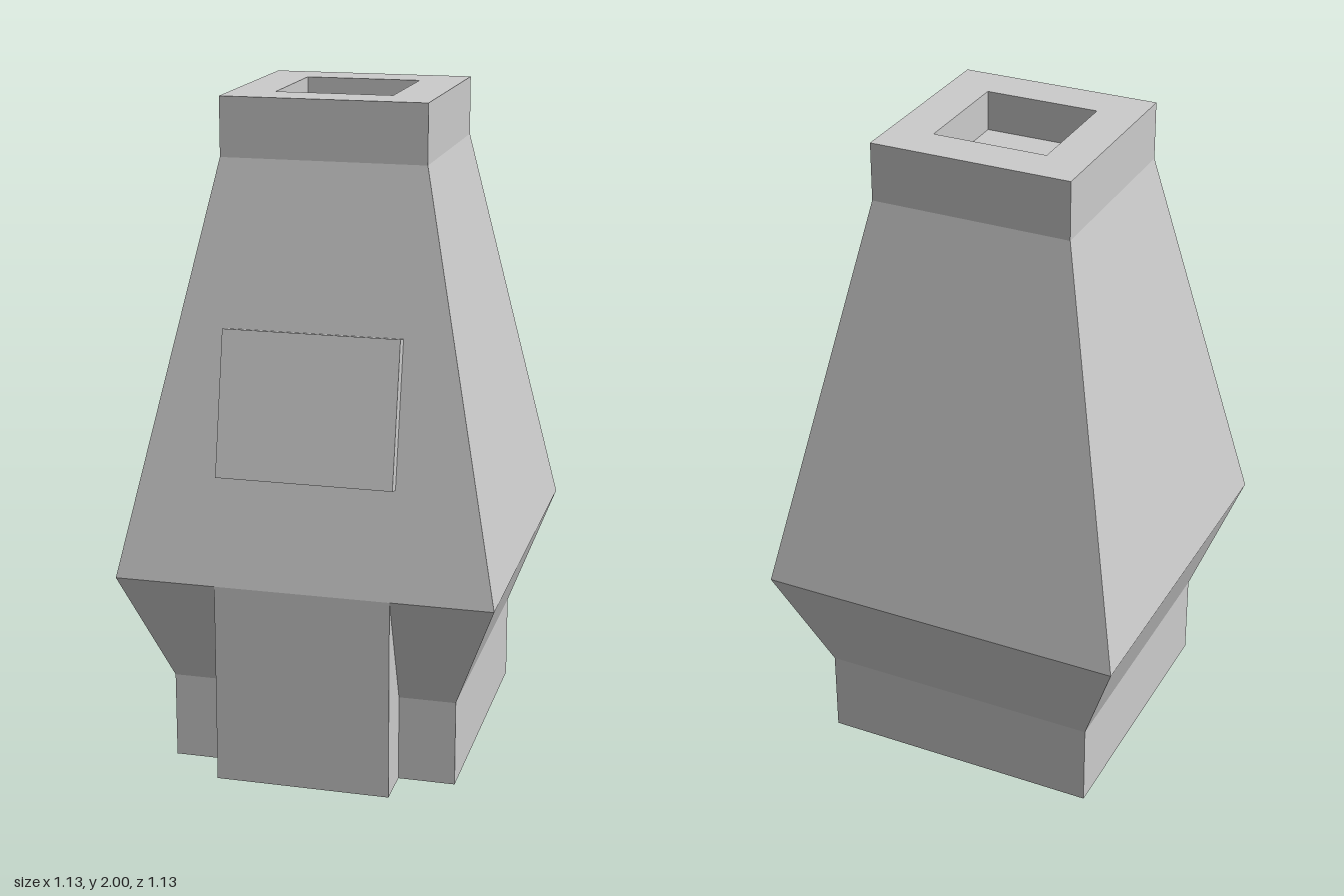
import * as THREE from 'three';

const material = new THREE.MeshStandardMaterial({ color: 0xcccccc, flatShading: true });

function addPart(group, name, geometry) {
  const mesh = new THREE.Mesh(geometry, material);
  mesh.name = name;
  group.add(mesh);
  return mesh;
}

// Square tower: a four-sided lathe whose profile gives half-widths and heights
function squareTower(profile) {
  const points = profile.map(([half, y]) => new THREE.Vector2(half * Math.SQRT2, y));
  const geometry = new THREE.LatheGeometry(points, 4, Math.PI / 4).toNonIndexed();
  geometry.computeVertexNormals();
  return geometry;
}

export function createModel() {
  const group = new THREE.Group();
  group.name = 'chimneyTower';

  const waist = { half: 0.565, y: 0.61 };
  const neck = { half: 0.305, y: 1.825 };

  // Plinth, flared belly, tapering hood, collar and recessed opening
  addPart(group, 'towerBody', squareTower([
    [0, 0], [0.433, 0], [0.433, 0.262], [waist.half, waist.y],
    [neck.half, neck.y], [neck.half, 2],
    [0.174, 2], [0.174, 1.88], [0, 1.88],
  ]));

  // Upright block under the front overhang
  const depth = 0.265;
  addPart(group, 'frontPillar', new THREE.BoxGeometry(0.524, waist.y, depth))
    .position.set(0, waist.y / 2, waist.half - depth / 2);

  // Panel lying on the sloping front, half sunk into it
  const slope = (waist.half - neck.half) / (neck.y - waist.y);
  const panelY = 1.136;
  const panel = addPart(group, 'frontPanel', new THREE.BoxGeometry(0.524, 0.43, 0.08));
  panel.position.set(0, panelY, waist.half - (panelY - waist.y) * slope);
  panel.rotation.x = -Math.atan(slope);

  return group;
}
